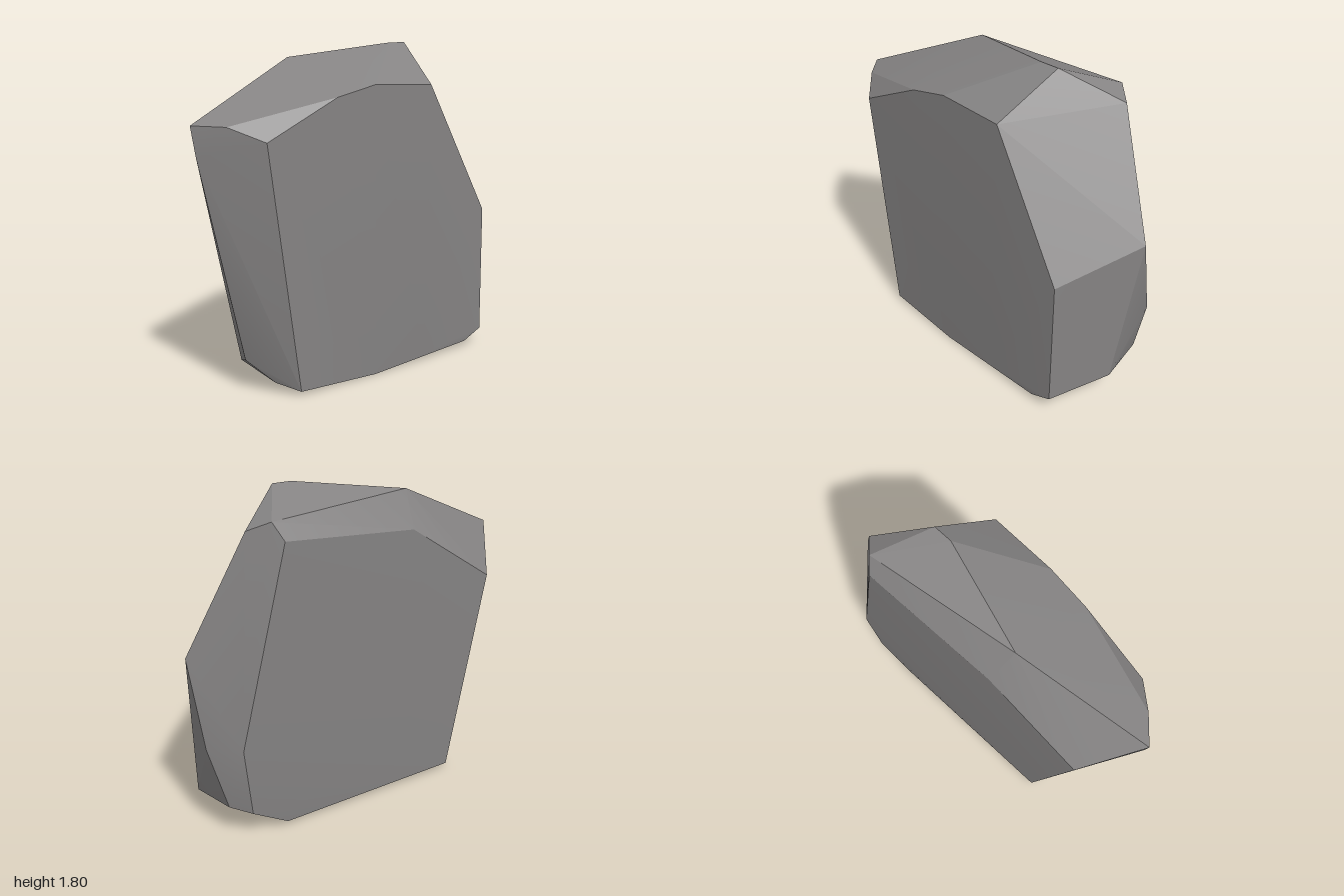
import * as THREE from 'three';
import { ConvexGeometry } from 'three/addons/geometries/ConvexGeometry.js';
import { toCreasedNormals } from 'three/addons/utils/BufferGeometryUtils.js';

// Corners of the broad front face
const frontFace = [
  [-0.74, 1.34, 0.272], [-0.31, 1.54, 0.292], [-0.06, 1.595, 0.304], [0.34, 1.58, 0.32],
  [0.77, 0.83, 0.345], [0.77, 0.09, 0.35], [0.64, 0.035, 0.345], [0.3, 0.03, 0.335],
  [-0.06, 0, 0.318], [-0.56, 0.025, 0.29], [-0.575, 0.42, 0.288],
];

// Ridge running round the sides between front and back
const ridge = [
  [-1, 1.42, 0], [-0.88, 1.415, 0.135], [-0.985, 1.27, 0.02], [-0.85, 0.7, 0.05],
  [-0.75, 0.18, 0.06], [-0.64, 0.06, 0.17], [-0.27, 1.73, -0.18],
  [0.33, 1.805, 0], [0.44, 1.805, 0], [0.71, 1.64, -0.21], [1, 1, -0.07],
  [0.97, 0.53, -0.19], [0.92, 0.21, -0.07], [0.93, 0.17, 0.045], [0.88, 0.185, -0.235],
];

// Corners of the broad back face
const backFace = [
  [-0.79, 1.185, -0.285], [-0.225, 1.54, -0.317], [0.57, 1.6, -0.35], [0.61, 1.69, -0.295],
  [0.83, 0.54, -0.332], [0.78, 0.15, -0.31], [0.565, 0.02, -0.295], [-0.545, 0.03, -0.285],
];

// Points of the resting underside
const underside = [[-0.46, 0.005, 0.1], [0.66, 0.015, 0.2]];

export function createModel() {
  const model = new THREE.Group();
  model.name = 'rock';

  const stone = new THREE.MeshStandardMaterial({ color: 0x858383 });
  stone.name = 'stone grey';

  // Chiselled slab: planar facets with crisp edges, gentle folds smoothed
  const corners = [...frontFace, ...ridge, ...backFace, ...underside].map(p => new THREE.Vector3(...p));
  const slab = new THREE.Mesh(toCreasedNormals(new ConvexGeometry(corners), 0.3), stone);
  slab.name = 'stoneSlab';
  model.add(slab);
  return model;
}
